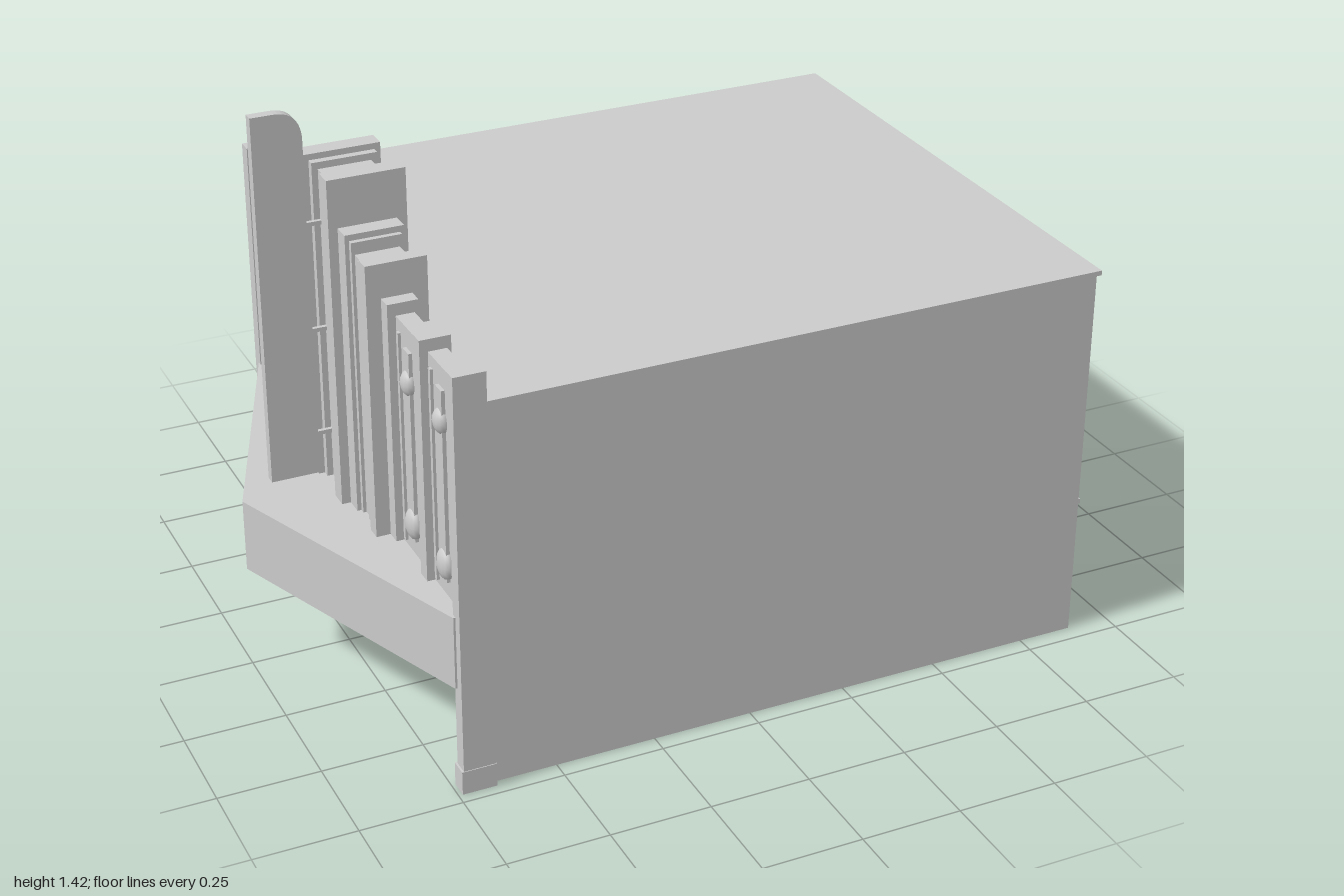
import * as THREE from 'three';

const ZC = 0.012; // centre line of the facade

export function createModel() {
  const root = new THREE.Group();
  const mat = new THREE.MeshStandardMaterial({ color: 0xcccccc, side: THREE.DoubleSide });

  const add = (name, geo, parent = root) => {
    const m = new THREE.Mesh(geo, mat);
    m.name = name;
    parent.add(m);
    return m;
  };
  // box from its limits
  const box = (name, x0, x1, y0, y1, z0, z1, parent = root) => {
    const m = add(name, new THREE.BoxGeometry(x1 - x0, y1 - y0, Math.abs(z1 - z0)), parent);
    m.position.set((x0 + x1) / 2, (y0 + y1) / 2, (z0 + z1) / 2);
    return m;
  };
  // pair of boxes mirrored about the facade centre line
  const pair = (name, x0, x1, y0, y1, a, b, parent = root) => {
    for (const s of [1, -1]) box(name, x0, x1, y0, y1, ZC + s * a, ZC + s * b, parent);
  };
  // thin rod between two points
  const rod = (name, a, b, r, parent = root) => {
    const p = new THREE.Vector3(...a), q = new THREE.Vector3(...b);
    const m = add(name, new THREE.CylinderGeometry(r, r, p.distanceTo(q), 6), parent);
    m.position.copy(p).lerp(q, 0.5);
    m.quaternion.setFromUnitVectors(new THREE.Vector3(0, 1, 0), q.sub(p).normalize());
  };

  // Hollow hall, open underneath
  box('rearWall', 0.88, 0.89, 0, 0.97, -0.69, 0.705);
  box('sideWall', -0.68, 0.89, 0, 0.97, 0.695, 0.705);
  box('sideWall', -0.68, 0.89, 0, 0.97, -0.69, -0.68);
  box('roof', -0.66, 0.9, 0.97, 0.982, -0.695, 0.71);

  // Facade: wall above the entrance, pilasters stepping up to the centre
  const facade = new THREE.Group();
  facade.name = 'facade';
  root.add(facade);
  box('facadeWall', -0.715, -0.67, 0.45, 1.03, ZC - 0.69, ZC + 0.69, facade);
  pair('cornerPier', -0.735, -0.657, 0, 1.06, 0.67, 0.708, facade);
  pair('pierBase', -0.74, -0.655, 0, 0.06, 0.665, 0.71, facade);
  // [x0, x1, top, inner offset, outer offset]
  const steps = [
    [-0.735, -0.66, 1.06, 0.477, 0.515],
    [-0.735, -0.66, 1.06, 0.283, 0.32],
    [-0.77, -0.622, 1.145, 0.245, 0.283],
    [-0.75, -0.642, 1.12, 0.163, 0.245],
    [-0.758, -0.635, 1.15, 0.15, 0.163],
    [-0.768, -0.625, 1.165, 0.105, 0.15],
    [-0.79, -0.6, 1.285, 0.058, 0.105],
    [-0.775, -0.615, 1.27, 0.039, 0.058],
  ];
  for (const [x0, x1, top, a, b] of steps) pair('pilaster', x0, x1, 0.45, top, a, b, facade);
  box('centrePanel', -0.76, -0.63, 0.45, 1.253, ZC - 0.039, ZC + 0.039, facade);
  pair('fluting', -0.756, -0.74, 0.45, 1.12, 0.195, 0.213, facade);

  // Half-round ornaments and slim strips in the outer bays
  for (const s of [1, -1]) for (const o of [0.398, 0.592]) {
    const z = ZC + s * o;
    box('ornamentStrip', -0.724, -0.715, 0.5, 0.98, z - 0.018, z + 0.018, facade);
    for (const [y, k] of [[0.54, 1], [0.9, 0.8]]) {
      const m = add('ornamentBoss', new THREE.SphereGeometry(0.033, 14, 8), facade);
      m.scale.set(0.6, 1.2 * k, k);
      m.position.set(-0.718, y, z);
    }
    for (const e of [1, -1])
      box('bayFrame', -0.722, -0.715, 0.47, 1.0, z + e * 0.05, z + e * 0.062, facade);
  }

  // Triangular canopy over the entrance
  const tri = new THREE.Shape([[-0.73, -0.69], [-1, 0], [-0.74, 0.69], [-0.68, 0.69], [-0.68, -0.69]]
    .map(([x, z]) => new THREE.Vector2(x, -z - ZC / 2)));
  const canopy = add('canopy', new THREE.ExtrudeGeometry(tri, { depth: 0.185, bevelEnabled: false }));
  canopy.rotation.x = -Math.PI / 2;
  canopy.position.y = 0.27;

  // Upright blade with one rounded corner, and its brackets
  const s = new THREE.Shape();
  s.moveTo(-0.93, 0.5);
  s.lineTo(-0.81, 0.5);
  s.lineTo(-0.81, 1.36);
  s.quadraticCurveTo(-0.815, 1.425, -0.875, 1.425);
  s.lineTo(-0.93, 1.425);
  const blade = add('uprightBlade',
    new THREE.ExtrudeGeometry(s, { depth: 0.026, bevelEnabled: false, curveSegments: 10 }));
  blade.position.z = ZC - 0.013;
  for (const y of [0.6, 0.87, 1.14])
    box('bladeBracket', -0.815, -0.755, y - 0.005, y + 0.005, ZC - 0.005, ZC + 0.005);

  // Recessed entrance with doors, poster frames and a ticket booth
  const entrance = new THREE.Group();
  entrance.name = 'entrance';
  root.add(entrance);
  box('entranceWall', -0.56, -0.55, 0, 0.45, ZC - 0.67, ZC + 0.67, entrance);
  pair('entranceSide', -0.7, -0.55, 0, 0.45, 0.66, 0.67, entrance);
  const framed = (name, z, w, y0, y1) => {
    box(name, -0.565, -0.545, y0, y1, z - w / 2, z + w / 2, entrance);
    for (const e of [1, -1])
      box('frameSide', -0.572, -0.54, y0, y1, z + e * w / 2 - 0.006, z + e * w / 2 + 0.006, entrance);
    box('frameTop', -0.572, -0.54, y1, y1 + 0.012, z - w / 2 - 0.006, z + w / 2 + 0.006, entrance);
  };
  for (const e of [1, -1]) {
    framed('door', ZC + e * 0.13, 0.1, 0, 0.21);
    framed('door', ZC + e * 0.24, 0.1, 0, 0.21);
    framed('posterCase', ZC + e * 0.48, 0.2, 0.06, 0.22);
  }
  const booth = add('ticketBooth', new THREE.CylinderGeometry(0.05, 0.05, 0.2, 8), entrance);
  booth.position.set(-0.6, 0.1, ZC);

  // Rear fire stairs: two landings, two flights, outer railing
  const stairs = new THREE.Group();
  stairs.name = 'fireStairs';
  root.add(stairs);
  box('upperDoor', 0.885, 0.9, 0.285, 0.468, 0.485, 0.57, stairs);
  box('upperLanding', 0.89, 0.98, 0.272, 0.285, 0.48, 0.585, stairs);
  box('lowerLanding', 0.89, 0.98, 0.145, 0.16, 0.285, 0.39, stairs);
  const flight = (z0, y0, z1, y1, n) => {
    const dz = (z1 - z0) / n, dy = (y1 - y0) / n;
    for (let i = 0; i < n; i++) {
      const z = z0 + dz * i, y = y0 + dy * (i + 1);
      box('tread', 0.895, 0.98, y - 0.004, y + 0.002, z, z + dz, stairs);
      box('riser', 0.895, 0.98, y, y - dy, z - 0.002, z + 0.002, stairs);
    }
    for (const x of [0.9, 0.975]) {
      const side = new THREE.Shape([[z0, y0], [z1, y1], [z1, y1 - 0.012], [z0, y0 - 0.018]]
        .map(([z, y]) => new THREE.Vector2(-z, y)));
      const m = add('stringer', new THREE.ExtrudeGeometry(side, { depth: 0.004, bevelEnabled: false }), stairs);
      m.rotation.y = Math.PI / 2;
      m.position.x = x;
    }
  };
  flight(0.48, 0.285, 0.385, 0.16, 6);
  flight(0.285, 0.16, 0.15, 0.012, 8);
  const railPath = [[0.575, 0.285], [0.48, 0.285], [0.37, 0.16], [0.285, 0.16], [0.157, 0.022]];
  for (let i = 0; i < railPath.length - 1; i++) {
    const [z0, y0] = railPath[i], [z1, y1] = railPath[i + 1];
    rod('handrail', [0.977, y0 + 0.07, z0], [0.977, y1 + 0.07, z1], 0.002, stairs);
    for (let k = 0; k < 4; k++) {
      const t = k / 4, z = z0 + (z1 - z0) * t, y = y0 + (y1 - y0) * t;
      rod('railPost', [0.977, y, z], [0.977, y + 0.07, z], 0.0015, stairs);
    }
  }
  rod('railPost', [0.977, 0, 0.157], [0.977, 0.1, 0.157], 0.002, stairs);
  rod('endRail', [0.89, 0.355, 0.575], [0.977, 0.355, 0.575], 0.002, stairs);

  // Rear exits: side panels, framed bay with a door, awning
  box('exitPanel', 0.885, 0.902, 0, 0.225, -0.115, -0.028);
  box('exitPanel', 0.885, 0.902, 0, 0.225, -0.55, -0.465);
  box('exitBay', 0.885, 0.896, 0, 0.235, -0.44, -0.14);
  box('exitDoor', 0.885, 0.902, 0, 0.185, -0.388, -0.303);
  box('awning', 0.89, 1.0, 0.232, 0.248, -0.445, -0.145);

  // Service box and pipe outlets on the side wall
  box('serviceBox', -0.305, -0.215, 0.01, 0.128, -0.725, -0.688);
  box('outletPlate', -0.555, -0.48, 0.02, 0.045, -0.697, -0.688);
  for (const x of [-0.54, -0.495]) rod('pipeOutlet', [x, 0.032, -0.688], [x, 0.032, -0.705], 0.011);

  return root;
}
